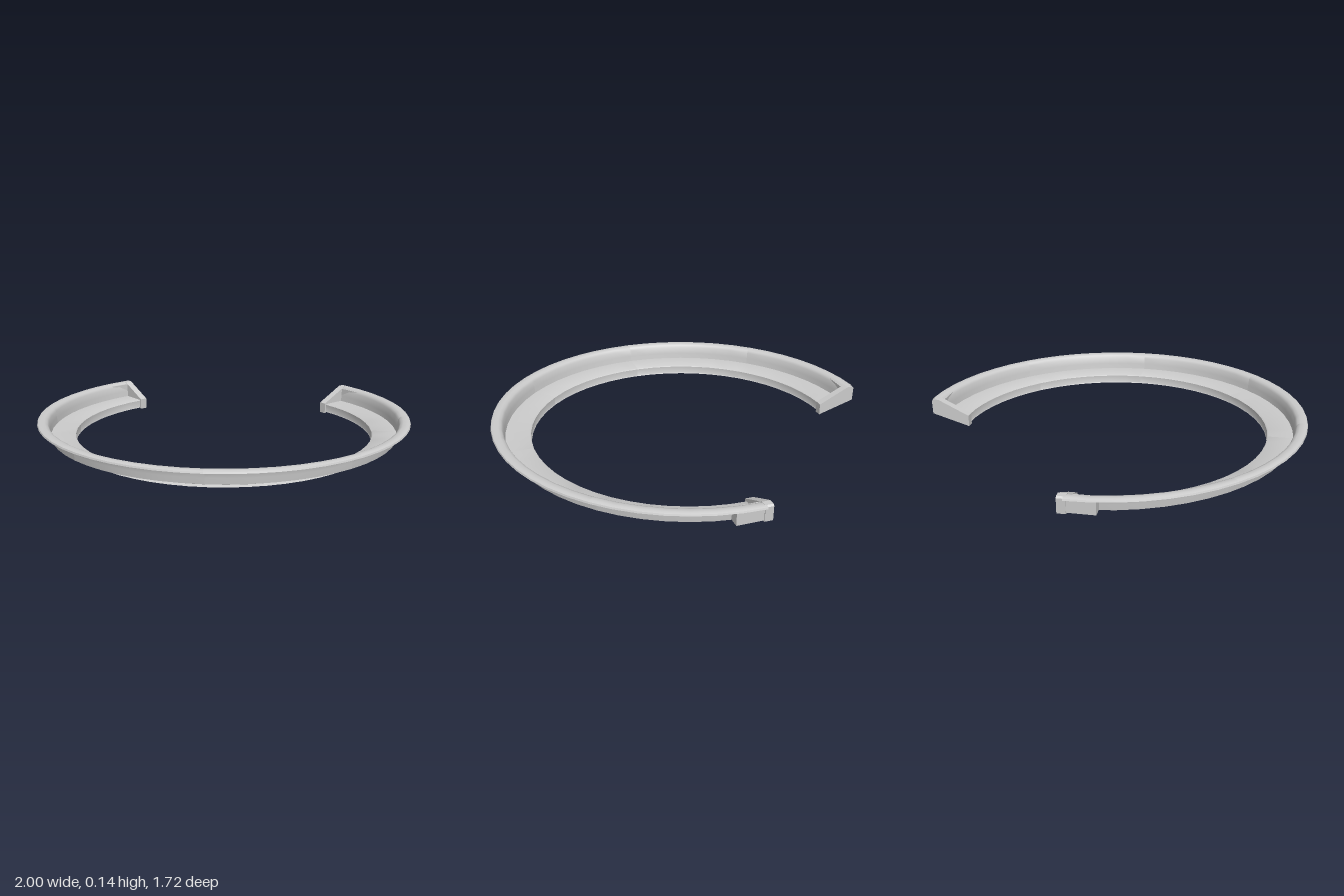
import * as THREE from 'three';
import { toCreasedNormals } from 'three/addons/utils/BufferGeometryUtils.js';

export function createModel() {
  const model = new THREE.Group();
  model.name = 'curvedBench';
  const sheet = new THREE.MeshStandardMaterial({ color: 0xcccccc, side: THREE.DoubleSide });
  const solid = new THREE.MeshStandardMaterial({ color: 0xcccccc });

  // Everything is swept around one centre, set back from the middle
  const ring = new THREE.Group();
  ring.name = 'benchRing';
  ring.position.z = -0.14;
  model.add(ring);

  // Cross-section (radius, height): rolled lip, backrest, seat, apron, foot
  const profile = [
    [1.0, 0.127], [0.997, 0.135], [0.985, 0.14], [0.962, 0.139], [0.948, 0.133], [0.94, 0.12],
    [0.936, 0.085], [0.932, 0.055], [0.808, 0.055], [0.801, 0.05],
    [0.803, 0.012], [0.8, 0.006], [0.82, 0],
  ].map(([r, y]) => new THREE.Vector2(r, y));

  // Six equal sections around three quarters of a circle
  const step = Math.PI / 4;
  for (let i = 0; i < 6; i++) {
    const geo = new THREE.LatheGeometry(profile, 7, (i - 3) * step, step);
    const section = new THREE.Mesh(toCreasedNormals(geo, 0.7), sheet);
    section.name = `benchSection${i + 1}`;
    ring.add(section);
  }

  // End panel outline: sloping armrest with a sloping underside
  const outline = new THREE.Shape([
    [0.79, 0], [0.99, 0.06], [0.992, 0.132], [0.985, 0.14],
    [0.955, 0.14], [0.94, 0.133], [0.79, 0.06],
  ].map(([r, y]) => new THREE.Vector2(r, y)));
  const panelGeo = new THREE.ExtrudeGeometry(outline, { depth: 0.04, bevelEnabled: false });
  panelGeo.translate(0, 0, -0.03);
  const blockGeo = new THREE.BoxGeometry(0.05, 0.065, 0.14);

  // Mirrored pair of closed ends, each with a block behind the backrest
  for (const side of [1, -1]) {
    const mirror = new THREE.Group();
    mirror.name = side > 0 ? 'leftEnd' : 'rightEnd';
    mirror.scale.x = side;
    const end = new THREE.Group();
    end.name = 'endAssembly';
    end.rotation.y = Math.PI / 4;
    const panel = new THREE.Mesh(panelGeo, solid);
    panel.name = 'endPanel';
    const block = new THREE.Mesh(blockGeo, solid);
    block.name = 'backBlock';
    block.position.set(0.961, 0.0975, 0.07);
    end.add(panel, block);
    mirror.add(end);
    ring.add(mirror);
  }
  return model;
}
